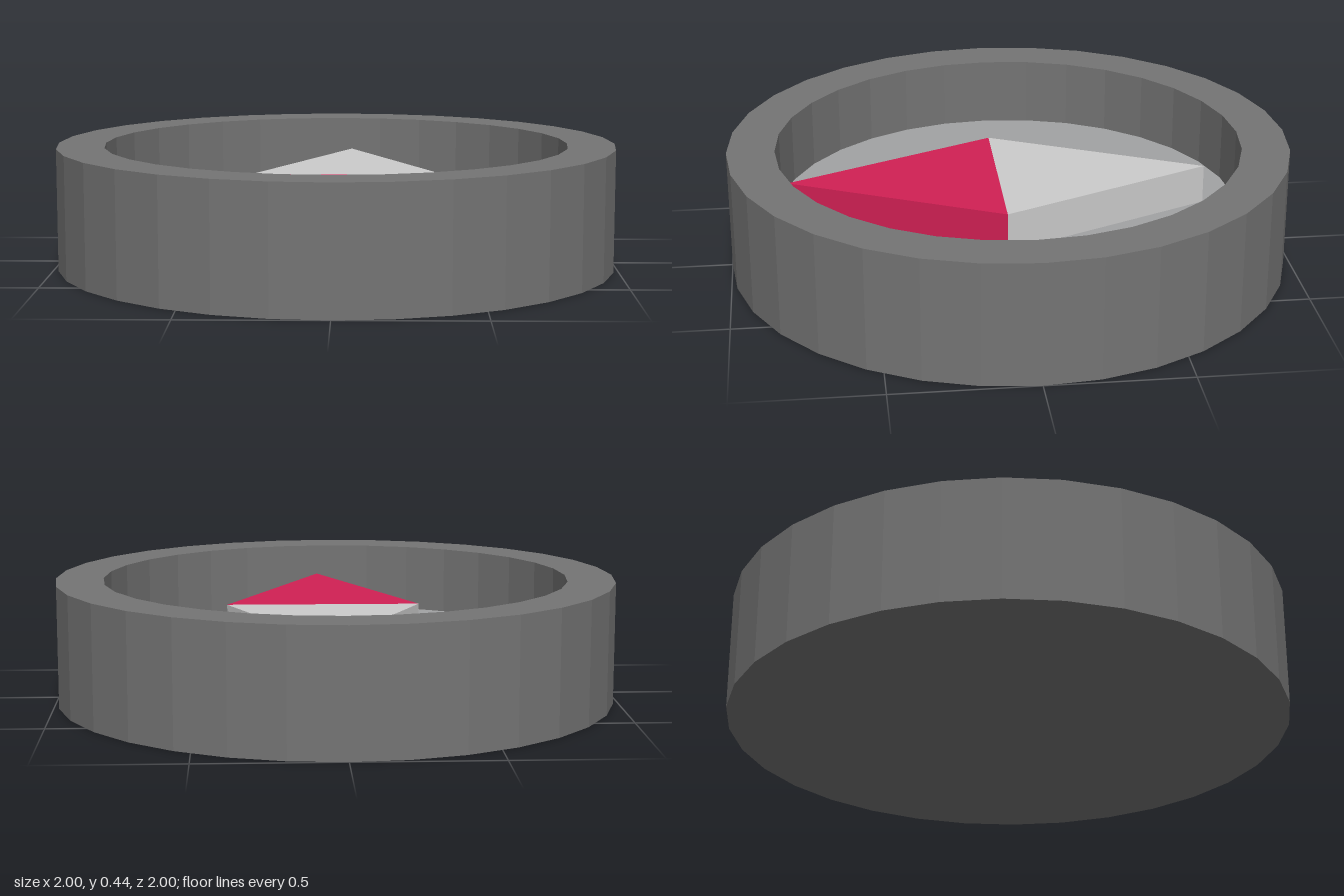
import * as THREE from 'three';

const SIDES = 32, FLOOR = 0.187, THICK = 0.14;

function addPart(group, name, geometry, color) {
  const material = new THREE.MeshStandardMaterial({ color, flatShading: true });
  const mesh = new THREE.Mesh(geometry, material);
  mesh.name = name;
  group.add(mesh);
  return mesh;
}

// Flat triangular prism lying on the dial; corners are [x, z]
function needleHalf(corners) {
  const shape = new THREE.Shape(corners.map(([x, z]) => new THREE.Vector2(x, z)));
  return new THREE.ExtrudeGeometry(shape, { depth: THICK, bevelEnabled: false })
    .rotateX(Math.PI / 2)
    .translate(0, FLOOR + THICK, 0);
}

export function createModel() {
  const model = new THREE.Group();
  model.name = 'compass';

  // Case: closed base, outer wall, flat rim and inner wall
  const profile = [[0, 0], [1, 0], [1, 0.435], [0.83, 0.435], [0.83, FLOOR]]
    .map(([r, y]) => new THREE.Vector2(r, y));
  addPart(model, 'case', new THREE.LatheGeometry(profile, SIDES), 0x747474);

  // Dial face inside the case
  const dial = new THREE.CircleGeometry(0.83, SIDES).rotateX(-Math.PI / 2).translate(0, FLOOR, 0);
  addPart(model, 'dial', dial, 0xa2a3a4);

  // Two-coloured needle, split across its widest line
  const left = [0.39, 0.045], right = [-0.305, 0.04];
  addPart(model, 'needleBack', needleHalf([right, [0.05, -0.705], left]), 0xcccccc);
  addPart(model, 'needleFront', needleHalf([right, left, [0.04, 0.79]]), 0xd12054);

  return model;
}
